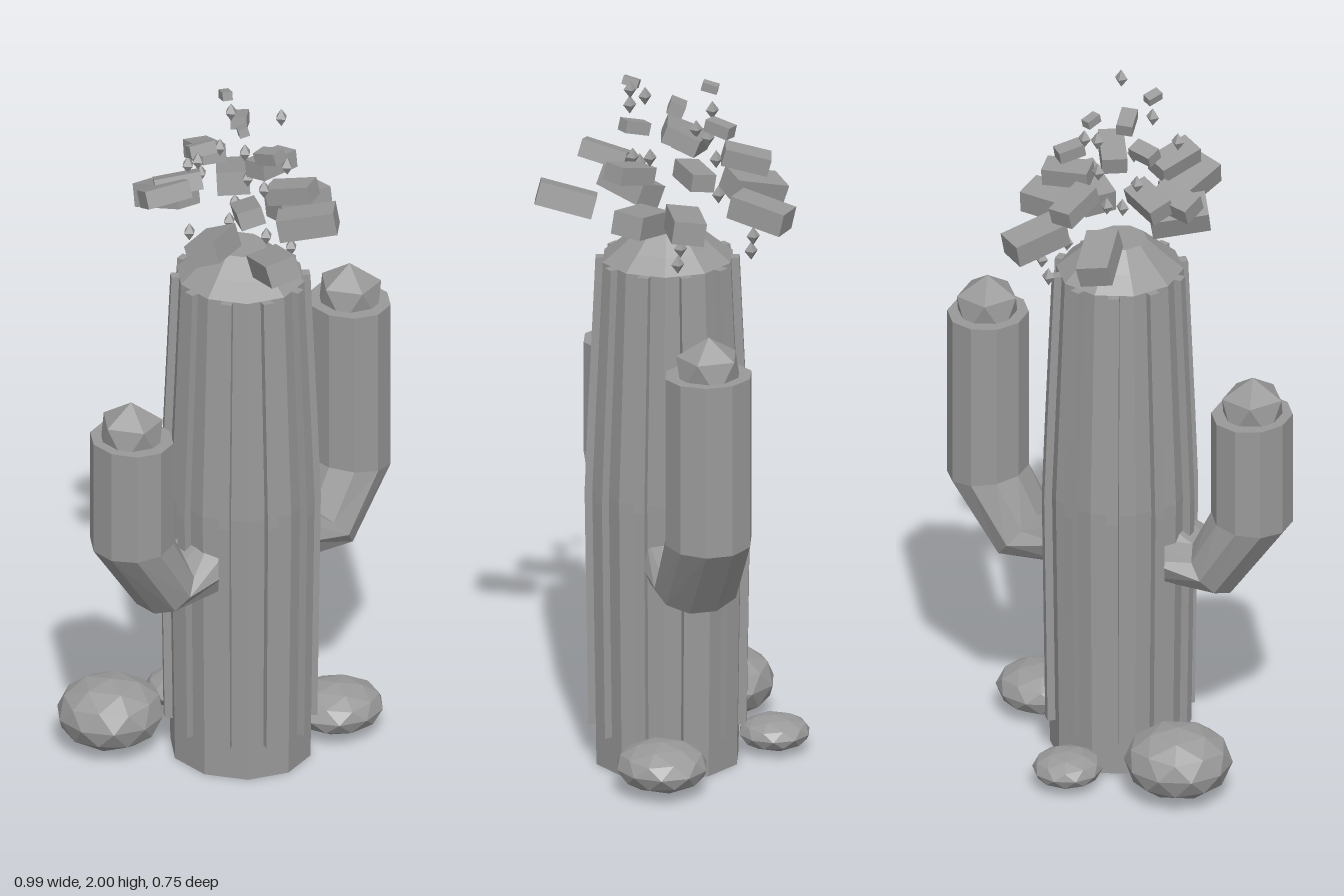
import * as THREE from 'three';

const stone = new THREE.MeshStandardMaterial({ color: 0x999999, flatShading: true });
stone.name = 'stone grey';

const SIDES = 10;
const SQUASH = 0.94; // trunk is slightly narrower in x
const CENTRE_Z = 0.02;

function add(parent, name, geometry, x = 0, y = 0, z = 0) {
  const mesh = new THREE.Mesh(geometry, stone);
  mesh.name = name;
  mesh.position.set(x, y, z);
  parent.add(mesh);
  return mesh;
}

// Icosahedron standing on a vertex
function icosa(detail) {
  return new THREE.IcosahedronGeometry(1, detail).rotateZ(0.5536);
}

// Trunk radius at a given height: bulges gently in the middle
function trunkRadius(y) {
  return y < 0.8 ? 0.203 + 0.012 * (y / 0.8) : 0.215 - 0.03 * ((y - 0.8) / 0.66);
}

function makeTrunk() {
  const group = new THREE.Group();
  group.name = 'trunk';
  const profile = [[0, 0]];
  for (const y of [0, 0.3, 0.55, 0.8, 1.02, 1.24, 1.46]) profile.push([trunkRadius(y), y]);
  profile.push([0.135, 1.5], [0.077, 1.55], [0, 1.55]);
  add(group, 'trunkBody', new THREE.LatheGeometry(profile.map(p => new THREE.Vector2(...p)), SIDES));

  // Raised ribs follow the bulge of the trunk, one per facet
  for (let i = 0; i < SIDES; i++) {
    const rib = new THREE.BoxGeometry(0.032, 1.36, 0.05, 1, 6, 1);
    const pos = rib.attributes.position;
    for (let v = 0; v < pos.count; v++) {
      const y = pos.getY(v) + 0.78;
      pos.setXYZ(v, pos.getX(v), y, pos.getZ(v) + trunkRadius(y) - 0.012);
    }
    rib.rotateY(((i + 0.5) / SIDES) * Math.PI * 2);
    add(group, 'rib', rib);
  }
  group.scale.x = SQUASH;
  group.position.z = CENTRE_Z;
  return group;
}

// Arm skinned over rings, each given by its lower/outer and upper/inner point
function armGeometry(side, top) {
  const rings = [
    [0.12, 0.54, 0.12, 0.735],
    [0.34, 0.54, 0.23, 0.67],
    [0.495, 0.755, 0.285, 0.78],
    [0.495, top, 0.285, top],
  ];
  const verts = [], index = [];
  for (const [ox, oy, ix, iy] of rings) {
    for (let k = 0; k < SIDES; k++) {
      const a = (k / SIDES) * Math.PI * 2;
      const u = Math.sin(a) / 0.951 / 2;
      verts.push(
        side * ((ox + ix) / 2 + (ox - ix) * u),
        (oy + iy) / 2 + (oy - iy) * u,
        0.123 * Math.cos(a),
      );
    }
  }
  const tri = (a, b, c) => (side > 0 ? index.push(a, b, c) : index.push(a, c, b));
  for (let r = 0; r < rings.length - 1; r++) {
    for (let k = 0; k < SIDES; k++) {
      const a = r * SIDES + k, b = r * SIDES + ((k + 1) % SIDES);
      tri(a, b, b + SIDES);
      tri(a, b + SIDES, a + SIDES);
    }
  }
  const last = (rings.length - 1) * SIDES;
  for (let k = 1; k < SIDES - 1; k++) {
    tri(last, last + k, last + k + 1);
    tri(0, k + 1, k);
  }
  const geometry = new THREE.BufferGeometry();
  geometry.setAttribute('position', new THREE.Float32BufferAttribute(verts, 3));
  geometry.setIndex(index);
  geometry.computeVertexNormals();
  return geometry;
}

function makeArm(name, side, top) {
  const group = new THREE.Group();
  group.name = name;
  group.position.z = CENTRE_Z;
  add(group, 'armBody', armGeometry(side, top));
  add(group, 'bud', icosa(0), side * 0.392, top + 0.01, 0).scale.set(0.095, 0.1, 0.1);
  return group;
}

function makeBurst() {
  const group = new THREE.Group();
  group.name = 'burst';
  // Blocks fly outwards in four tiers: size, height, then x and z of each block
  const tiers = [
    [[0.09, 0.065, 0.16], 1.62, [[-0.1, 0.28], [-0.15, 0.08], [-0.045, -0.24], [0.16, -0.2], [0.2, 0.03], [0.14, 0.14]]],
    [[0.07, 0.05, 0.13], 1.74, [[-0.1, 0.17], [-0.2, -0.065], [-0.13, -0.09], [0.05, -0.19], [0.14, -0.015], [0.075, 0.15]]],
    [[0.045, 0.035, 0.075], 1.855, [[0.1, -0.1], [-0.095, -0.035], [0.02, 0.12]]],
    [[0.028, 0.024, 0.045], 1.955, [[-0.063, 0.105], [0.04, -0.09]]],
  ];
  for (const [size, y, spots] of tiers) {
    const box = new THREE.BoxGeometry(...size);
    for (const [x, z] of spots) {
      const block = add(group, 'block', box, x, y, z);
      block.rotation.set(-0.27, Math.atan2(x, z), 0.12);
    }
  }
  // Little diamond sparks: x, y, z
  const sparks = [
    [-0.165, 1.87, 0.035], [0.045, 1.975, 0.14], [-0.06, 1.89, 0.11], [0.06, 1.895, -0.09],
    [-0.095, 1.785, -0.09], [0.1, 1.79, 0.1], [0, 1.76, 0.12], [-0.02, 1.72, -0.125],
    [0.02, 1.8, -0.09], [-0.2, 1.665, 0.04], [0.12, 1.67, -0.09], [0.025, 1.6, 0.1],
    [0.13, 1.5, -0.18], [0.165, 1.495, 0.04], [0.19, 1.55, 0.04], [0.15, 1.55, -0.18],
  ];
  const diamond = new THREE.OctahedronGeometry(0.019).scale(1, 1.4, 1);
  for (const s of sparks) add(group, 'spark', diamond, ...s);
  return group;
}

export function createModel() {
  const model = new THREE.Group();
  model.name = 'cactus';
  model.add(makeTrunk());
  model.add(makeArm('leftArm', 1, 1.25));
  model.add(makeArm('rightArm', -1, 1.085));
  model.add(makeBurst());

  // Rocks around the base: centre, then half sizes
  const rocks = [
    [[-0.268, 0.107, -0.215], [0.15, 0.1, 0.148]],
    [[0.265, 0.078, 0.115], [0.132, 0.068, 0.128]],
    [[0.035, 0.056, -0.275], [0.097, 0.048, 0.1]],
  ];
  for (const [centre, size] of rocks) {
    add(model, 'rock', icosa(1), ...centre).scale.set(...size);
  }
  return model;
}
